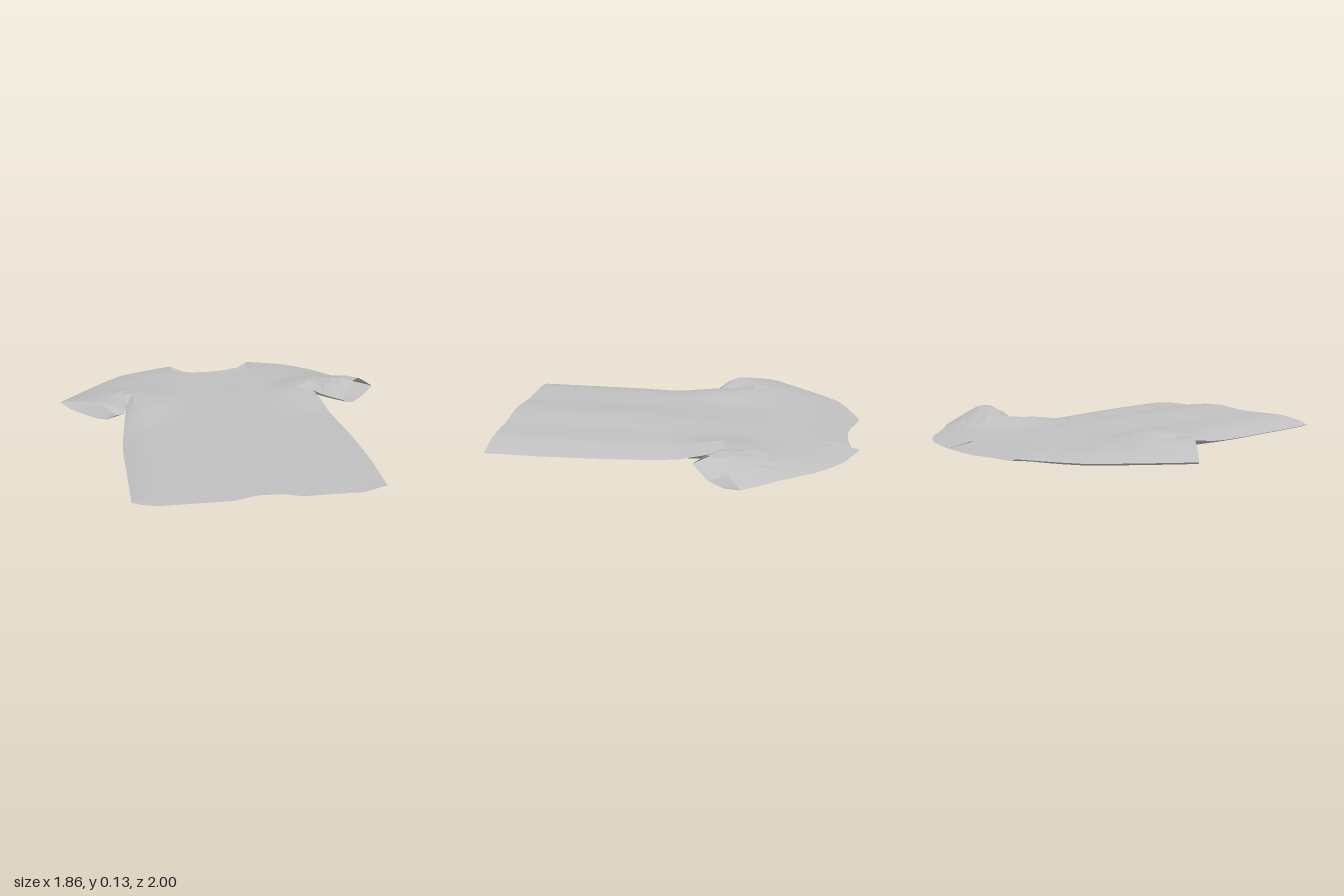
import * as THREE from 'three';
import { mergeGeometries, mergeVertices, toCreasedNormals } from 'three/addons/utils/BufferGeometryUtils.js';

const lerp = THREE.MathUtils.lerp;
const mix = (a, b, t) => [lerp(a[0], b[0], t), lerp(a[1], b[1], t)];
const clamp01 = (t) => Math.min(1, Math.max(0, t));

// Plan outline, as [x, z]: side seams from hem to armpit
const SIDE_R = [[-0.93, 0.5], [-0.81, 0.24], [-0.7, 0], [-0.62, -0.15], [-0.53, -0.3], [-0.42, -0.48]];
const SIDE_L = [[0.14, 1], [0.26, 0.74], [0.37, 0.46], [0.45, 0.22], [0.52, 0], [0.54, -0.1]];
// Sleeve rows from armhole to cuff: [upper edge, underarm edge]
const SLEEVE_R = [[[-0.18, -1], [-0.42, -0.48]], [[-0.3, -0.96], [-0.45, -0.43]],
  [[-0.48, -0.885], [-0.48, -0.4]], [[-0.65, -0.81], [-0.52, -0.41]]];
const SLEEVE_L = [[[0.77, -0.56], [0.54, -0.1]], [[0.81, -0.47], [0.55, -0.05]],
  [[0.86, -0.27], [0.57, 0]], [[0.93, -0.06], [0.61, 0.07]]];
// Shoulder seams and the two necklines
const SHOULDER_R = [[-0.18, -1], [-0.13, -1], [-0.06, -1], [0, -0.995], [0.08, -0.99], [0.15, -0.98]];
const SHOULDER_L = [[0.57, -0.8], [0.65, -0.72], [0.71, -0.66], [0.77, -0.56]];
const NECK_FRONT = [[0.1, -0.91], [0.1, -0.83], [0.14, -0.73], [0.22, -0.65], [0.32, -0.62], [0.42, -0.64], [0.5, -0.7]];
const NECK_BACK = [[0.17, -0.95], [0.2, -0.91], [0.24, -0.88], [0.28, -0.86], [0.35, -0.83], [0.42, -0.81], [0.5, -0.79]];
// Column positions across the body, matching the shoulder and neck points
const COLS = [0, 0.04, 0.1, 0.16, 0.23, 0.29, 0.3, 0.33, 0.39, 0.49, 0.585, 0.665, 0.71, 0.74, 0.83, 0.907, 1];

// Edges where front and back cloth meet
const SEAMS = [
  [...SIDE_R, ...SLEEVE_R.map((r) => r[1])],
  [...SIDE_L, ...SLEEVE_L.map((r) => r[1])],
  [...SHOULDER_R].reverse().concat(SLEEVE_R.map((r) => r[0])),
  [...SHOULDER_L, ...SLEEVE_L.map((r) => r[0])],
];

function segDist(p, a, b) {
  const dx = b[0] - a[0], dz = b[1] - a[1];
  const t = clamp01(((p[0] - a[0]) * dx + (p[1] - a[1]) * dz) / (dx * dx + dz * dz || 1));
  return Math.hypot(p[0] - a[0] - t * dx, p[1] - a[1] - t * dz);
}

function seamDist(p) {
  let d = Infinity;
  for (const s of SEAMS) for (let i = 1; i < s.length; i++) d = Math.min(d, segDist(p, s[i - 1], s[i]));
  return d;
}

// Height of the cloth: rounded at seams, raised at folds and underarms
function height(p, front) {
  const u = p[0] * 0.906 + p[1] * 0.424, v = p[0] * 0.424 - p[1] * 0.906;
  const bump = 0.065 * Math.max(0, 1 - segDist(p, [-0.45, -0.44], [-0.4, -0.47]) / 0.28)
    + 0.085 * Math.max(0, 1 - segDist(p, [0.56, -0.1], [0.7, 0]) / 0.24);
  const fade = clamp01((0.45 - v) / 0.6);
  const edge = 0.026 + 0.55 * bump;
  const d = seamDist(p);
  if (!front) {
    const fold = 0.035 * Math.max(0, 1 - Math.abs(u) / 0.12) * clamp01(-v / 0.8);
    return lerp(edge, fold, Math.pow(clamp01(d / 0.1), 0.8));
  }
  const ridge = 0.025 * Math.max(0, 1 - Math.abs(u) / 0.2) * fade;
  const base = lerp(0.066, 0.05, clamp01((v - 0.4) / 0.4));
  return lerp(edge, base + ridge + bump, Math.pow(clamp01(d / 0.15), 0.75));
}

// Cloth sheet from rows of plan points
function sheet(rows, front) {
  const n = rows[0].length, pos = [], index = [];
  for (const row of rows) for (const p of row) pos.push(p[0], height(p, front), p[1]);
  for (let j = 0; j < rows.length - 1; j++) {
    for (let i = 0; i < n - 1; i++) {
      const a = j * n + i, b = a + 1, c = a + n, d = c + 1;
      if (front) index.push(a, b, d, a, d, c);
      else index.push(a, d, b, a, c, d);
    }
  }
  const g = new THREE.BufferGeometry();
  g.setAttribute('position', new THREE.Float32BufferAttribute(pos, 3));
  g.setIndex(index);
  return g;
}

// Insert evenly spaced rows between the given ones
function subdivide(rows, steps) {
  const out = [rows[0]];
  for (let j = 1; j < rows.length; j++) {
    for (let s = 1; s <= steps; s++) out.push(rows[j].map((p, i) => mix(rows[j - 1][i], p, s / steps)));
  }
  return out;
}

const STEPS = 6;
const bodyRows = SIDE_R.map((a, j) => COLS.map((t) => mix(a, SIDE_L[j], t)));

function body(front) {
  const top = [...SHOULDER_R, ...(front ? NECK_FRONT : NECK_BACK), ...SHOULDER_L];
  const lower = subdivide(bodyRows, 2);
  const yoke = subdivide([bodyRows[bodyRows.length - 1], top], STEPS);
  return sheet([...lower, ...yoke.slice(1)], front);
}

function sleeve(rows, flip, front) {
  const full = rows.map(([a, b]) => {
    const row = [];
    for (let i = 0; i <= STEPS; i++) row.push(mix(a, b, i / STEPS));
    return flip ? row.reverse() : row;
  });
  return sheet(subdivide(full, 2), front);
}

export function createModel() {
  const group = new THREE.Group();
  group.name = 'tShirt';
  const cloth = new THREE.MeshStandardMaterial({ color: 0xc0c0c0, side: THREE.DoubleSide });
  cloth.name = 'grey cloth';

  const add = (name, make) => {
    const welded = mergeVertices(mergeGeometries([make(true), make(false)]), 1e-4);
    const mesh = new THREE.Mesh(toCreasedNormals(welded, 0.3), cloth);
    mesh.name = name;
    group.add(mesh);
  };
  add('body', body);
  add('rightSleeve', (front) => sleeve(SLEEVE_R, true, front));
  add('leftSleeve', (front) => sleeve(SLEEVE_L, false, front));
  return group;
}
